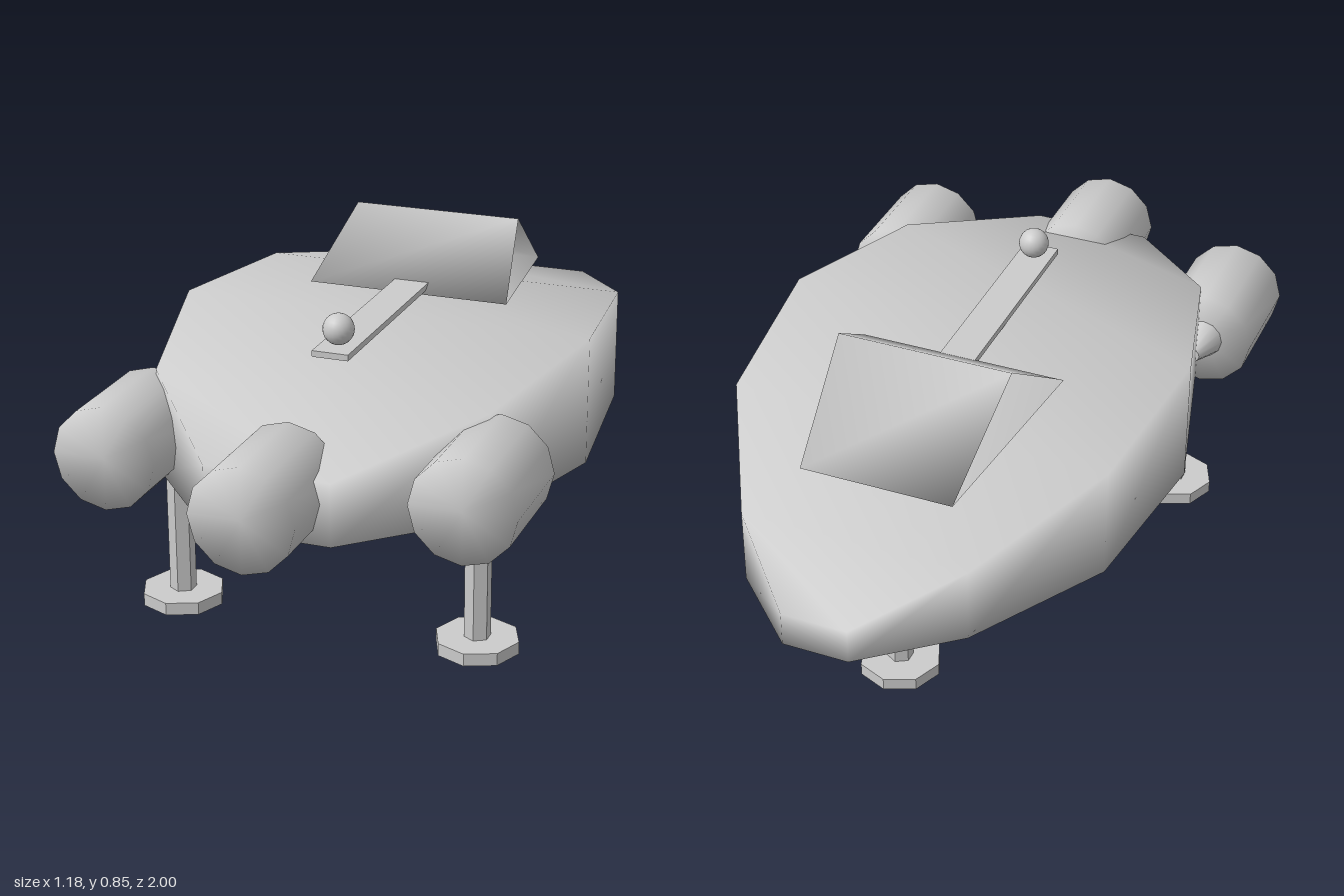
import * as THREE from 'three';
import { mergeVertices } from 'three/addons/utils/BufferGeometryUtils.js';

const smooth = new THREE.MeshStandardMaterial({ color: 0xcccccc, side: THREE.DoubleSide });
const flat = new THREE.MeshStandardMaterial({ color: 0xcccccc, flatShading: true });

// Skin a list of equal-sized rings, optionally closing both four-sided ends
function loft(rings, caps) {
  const n = rings[0].length;
  const index = [];
  for (let i = 0; i < rings.length - 1; i++) {
    for (let k = 0; k < n; k++) {
      const a = i * n + k, b = i * n + (k + 1) % n;
      index.push(a, b, a + n, b, b + n, a + n);
    }
  }
  if (caps) {
    const e = (rings.length - 1) * n;
    index.push(0, 2, 1, 0, 3, 2, e, e + 1, e + 2, e, e + 2, e + 3);
  }
  const geo = new THREE.BufferGeometry();
  geo.setAttribute('position', new THREE.Float32BufferAttribute(rings.flat(2), 3));
  geo.setIndex(index);
  geo.computeVertexNormals();
  return geo;
}

// Share normals between the sides and caps
function weld(geo) {
  geo.deleteAttribute('normal');
  geo.deleteAttribute('uv');
  const welded = mergeVertices(geo);
  welded.computeVertexNormals();
  return welded;
}

export function createModel() {
  const model = new THREE.Group();
  const add = (name, geo, mat, x = 0, y = 0, z = 0, parent = model) => {
    const mesh = new THREE.Mesh(geo, mat);
    mesh.name = name;
    mesh.position.set(x, y, z);
    parent.add(mesh);
    return mesh;
  };

  // Hull: rectangular sections [z, half width, bottom, top]
  const sections = [
    [-1, 0.085, 0.412, 0.503],
    [-0.78, 0.295, 0.38, 0.578],
    [-0.4, 0.5, 0.361, 0.66],
    [0.07, 0.552, 0.356, 0.692],
    [0.52, 0.435, 0.369, 0.642],
    [0.85, 0.16, 0.395, 0.556],
  ];
  add('hull', loft(sections.map(([z, w, b, t]) =>
    [[w, t, z], [-w, t, z], [-w, b, z], [w, b, z]]), true), smooth);

  // Canopy: three panels, open at both sides
  add('canopy', loft([-1, 1].map(s =>
    [[s * 0.23, 0.852, -0.35], [s * 0.275, 0.692, -0.11], [s * 0.2, 0.65, -0.648]]), false), smooth);

  // Barrel along the roof with a ball at its tip
  add('roofBar', new THREE.BoxGeometry(0.095, 0.016, 0.735), flat, 0, 0.707, 0.0775);
  add('roofBall', new THREE.SphereGeometry(0.04, 20, 14), smooth, 0, 0.757, 0.385);

  // Engines, each with a short cone behind
  const engineGeo = weld(new THREE.CylinderGeometry(0.134, 0.134, 0.29, 12).rotateX(Math.PI / 2));
  const coneGeo = new THREE.CylinderGeometry(0.055, 0.02, 0.09, 12).rotateX(Math.PI / 2);
  for (const [name, x, z] of [['leftEngine', 0.456, 0.635], ['centreEngine', 0, 0.855], ['rightEngine', -0.456, 0.635]]) {
    const engine = new THREE.Group();
    engine.name = name;
    engine.position.set(x, 0.5, z);
    add('engineBody', engineGeo, smooth, 0, 0, 0, engine);
    add('engineMount', coneGeo, smooth, 0, 0, -0.19, engine);
    model.add(engine);
  }

  // Landing legs with octagonal feet
  const legGeo = new THREE.CylinderGeometry(0.034, 0.034, 0.39, 6);
  const footGeo = new THREE.CylinderGeometry(0.108, 0.108, 0.033, 8);
  for (const [name, x, z] of [['leftLeg', 0.4, 0.48], ['rightLeg', -0.4, 0.48], ['rearLeg', 0, -0.53]]) {
    const leg = new THREE.Group();
    leg.name = name;
    leg.position.set(x, 0, z);
    add('strut', legGeo, flat, 0, 0.21, 0, leg);
    add('foot', footGeo, flat, 0, 0.0165, 0, leg);
    model.add(leg);
  }
  return model;
}
